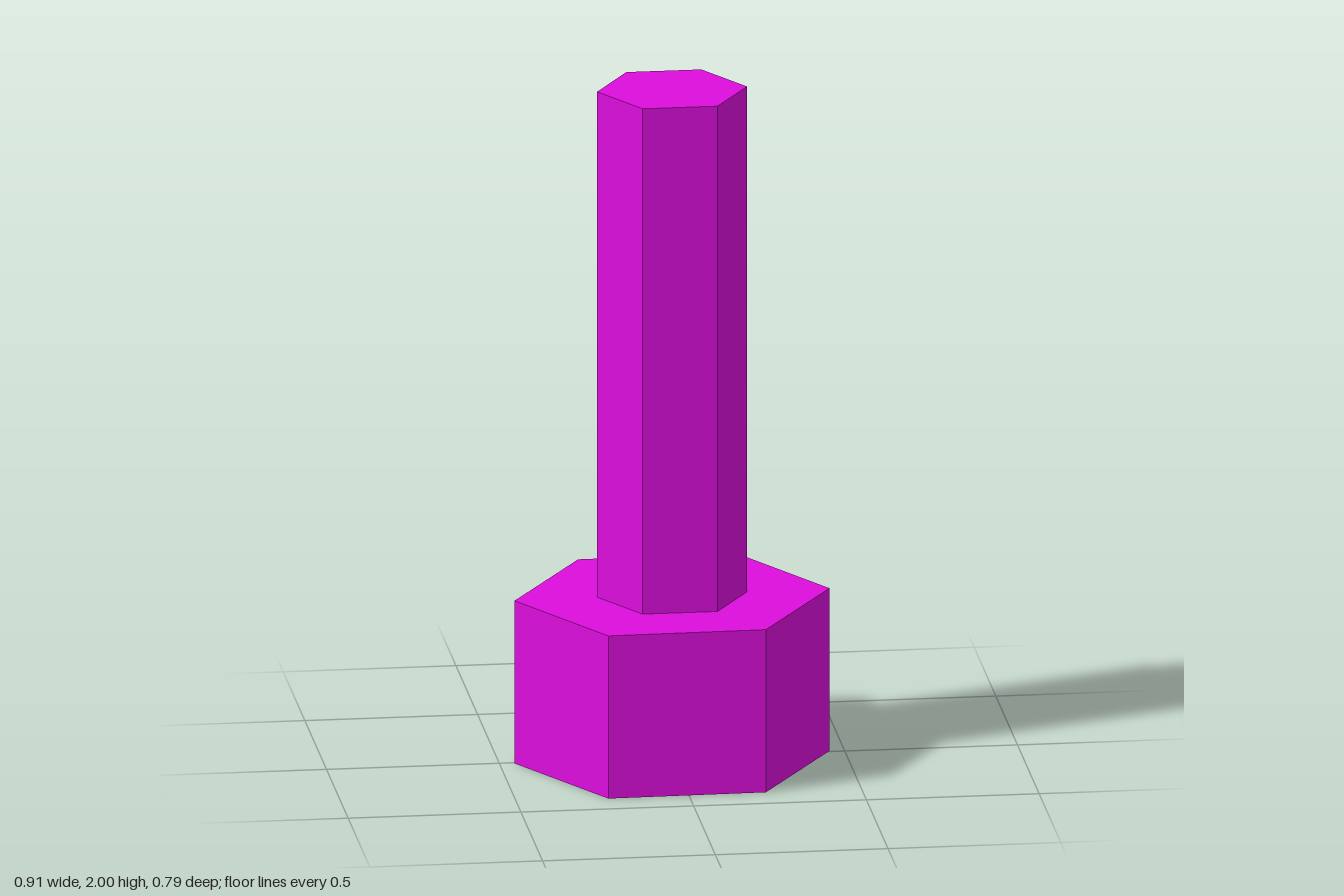
import * as THREE from 'three';

const HEAD_TOP = 0.487;
const SOCKET_DEPTH = 0.38;

// Closed hexagon from three corners (x, z) and their opposites
function hexagon(half, PathType = THREE.Shape) {
  const all = [...half, ...half.map(([x, z]) => [-x, -z])];
  return new PathType(all.map(([x, z]) => new THREE.Vector2(x, -z)));
}

// Three corners of a regular hexagon with a corner on +x
const regular = (r) => [0, 1, 2].map((i) => [r * Math.cos(i * Math.PI / 3), -r * Math.sin(i * Math.PI / 3)]);

// Upright prism from y0 to y1
function prism(name, shape, y0, y1, material) {
  const geometry = new THREE.ExtrudeGeometry(shape, { depth: y1 - y0, bevelEnabled: false });
  geometry.rotateX(-Math.PI / 2).translate(0, y0, 0);
  const mesh = new THREE.Mesh(geometry, material);
  mesh.name = name;
  return mesh;
}

export function createModel() {
  const magenta = new THREE.MeshStandardMaterial({ color: 0xdd0edd });
  magenta.name = 'magenta';
  const model = new THREE.Group();
  model.name = 'hexSocketTool';

  // Slightly skewed hexagonal head
  const headCorners = [[0.457, -0.007], [0.234, -0.395], [-0.223, -0.388]];

  // Lower head with the hexagonal socket open at the bottom
  const ring = hexagon(headCorners);
  ring.holes.push(hexagon(regular(0.27), THREE.Path));
  model.add(prism('socketHead', ring, 0, SOCKET_DEPTH, magenta));

  // Solid roof of the socket
  model.add(prism('headTop', hexagon(headCorners), SOCKET_DEPTH, HEAD_TOP, magenta));

  // Hexagonal shaft
  model.add(prism('shaft', hexagon(regular(0.217)), HEAD_TOP, 2, magenta));

  return model;
}
